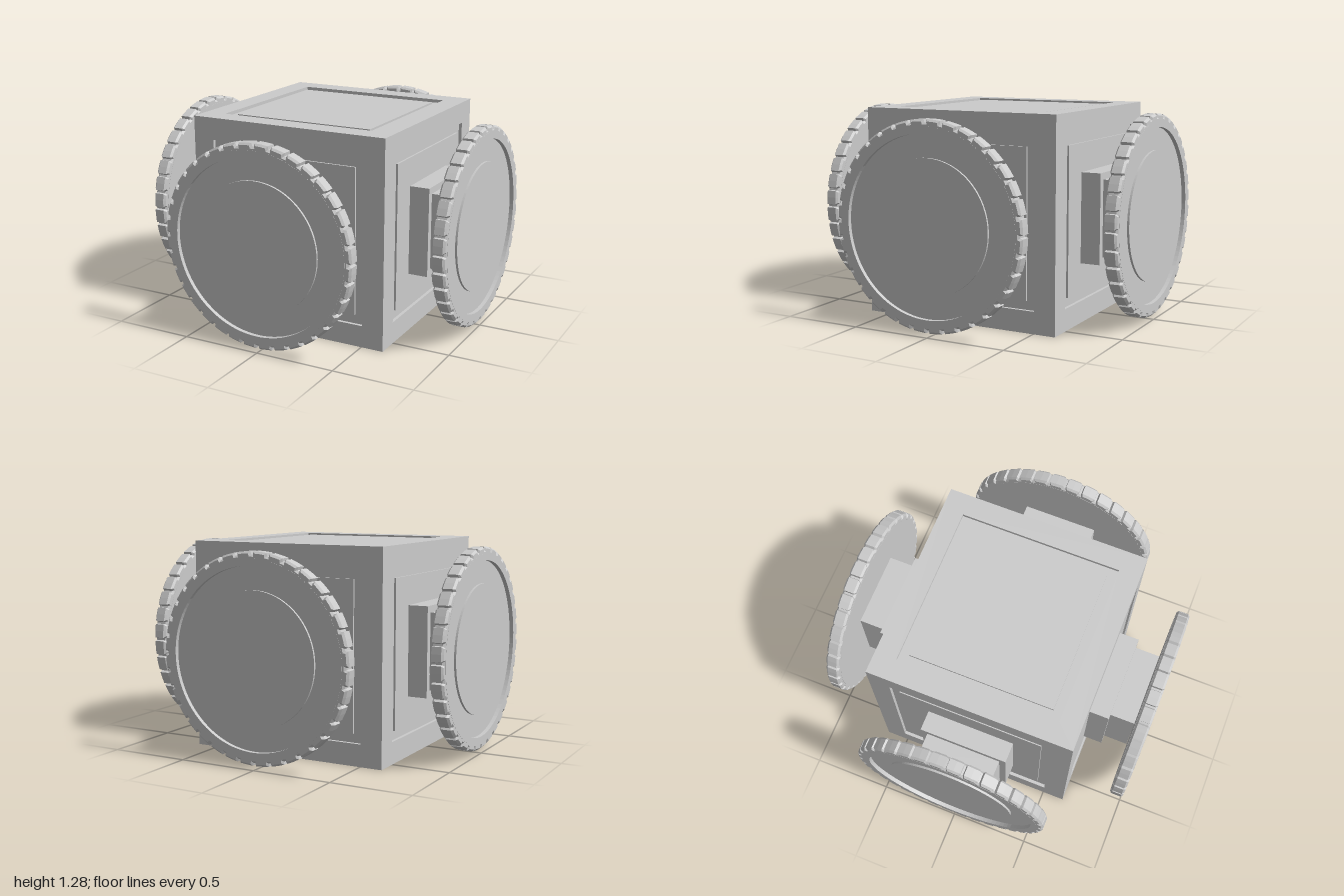
import * as THREE from 'three';

const HALF = 0.64;       // half the cube's edge
const CENTRE_Y = 0.643;
const mat = new THREE.MeshStandardMaterial({ color: 0xcccccc, flatShading: true });
const openMat = new THREE.MeshStandardMaterial({ color: 0xcccccc, flatShading: true, side: THREE.DoubleSide });

function add(parent, name, geometry, z = 0, material = mat) {
  const mesh = new THREE.Mesh(geometry, material);
  mesh.name = name;
  mesh.position.z = z;
  parent.add(mesh);
  return mesh;
}

// Square outline of half-width h
function square(path, h) {
  path.moveTo(-h, -h);
  path.lineTo(h, -h);
  path.lineTo(h, h);
  path.lineTo(-h, h);
  path.closePath();
  return path;
}

// One cube face: border, recessed groove and slightly sunken panel, facing +z
function createFace() {
  const face = new THREE.Group();
  face.name = 'cubeFace';
  const outer = 0.505, inner = 0.45, depth = 0.02;
  const border = square(new THREE.Shape(), HALF);
  border.holes.push(square(new THREE.Path(), outer));
  add(face, 'faceBorder', new THREE.ShapeGeometry(border), HALF);
  const wall = new THREE.CylinderGeometry(outer * Math.SQRT2, outer * Math.SQRT2, depth, 4, 1, true);
  wall.rotateY(Math.PI / 4).rotateX(Math.PI / 2);
  add(face, 'grooveWall', wall, HALF - depth / 2, openMat);
  add(face, 'grooveFloor', new THREE.PlaneGeometry(outer * 2, outer * 2), HALF - depth);
  add(face, 'facePanel', new THREE.BoxGeometry(inner * 2, inner * 2, 0.03), HALF - 0.023);
  return face;
}

// Toothed rim with bevelled edges
function createRimGeometry(zBack, zFront) {
  const teeth = 36, bevel = 0.012, tip = 0.615 - bevel, root = 0.597 - bevel;
  const step = (Math.PI * 2) / teeth;
  const shape = new THREE.Shape();
  for (let i = 0; i < teeth; i++) {
    [[0.15, root], [0.19, tip], [0.5, tip], [0.81, tip], [0.85, root]].forEach(([f, r], k) => {
      const a = (i + f) * step;
      const x = r * Math.cos(a), y = r * Math.sin(a);
      if (i === 0 && k === 0) shape.moveTo(x, y);
      else shape.lineTo(x, y);
    });
  }
  shape.closePath();
  shape.holes.push(new THREE.Path().absarc(0, 0, 0.55, 0, Math.PI * 2, true));
  const geometry = new THREE.ExtrudeGeometry(shape, {
    depth: zFront - zBack - 2 * bevel, bevelEnabled: true, bevelThickness: bevel,
    bevelSize: bevel, bevelSegments: 1, curveSegments: 24,
  });
  return geometry.translate(0, 0, zBack + bevel);
}

// Wheel disc with a ring groove and a raised centre
function createWheel() {
  const wheel = new THREE.Group();
  wheel.name = 'wheel';
  const back = 0.914, front = 1.0;
  const profile = [
    [0, back], [0.575, back], [0.575, front], [0.535, front],
    [0.535, front - 0.025], [0.397, front - 0.025], [0.397, front - 0.012], [0, front - 0.012],
  ].map(([r, z]) => new THREE.Vector2(r, z));
  add(wheel, 'wheelDisc', new THREE.LatheGeometry(profile, 96).rotateX(Math.PI / 2));
  add(wheel, 'toothedRim', createRimGeometry(back + 0.001, front - 0.001));
  return wheel;
}

// Square block from z0 to z1
function block(parent, name, half, z0, z1) {
  add(parent, name, new THREE.BoxGeometry(half * 2, half * 2, z1 - z0), (z0 + z1) / 2);
}

export function createModel() {
  const model = new THREE.Group();
  model.name = 'wheeledCube';
  const body = new THREE.Group();
  body.name = 'body';
  body.position.y = CENTRE_Y;
  model.add(body);

  // Four sides, each with a face, stepped axle and wheel
  const sides = [['front', 0, 0.909], ['left', 1, 0.903], ['back', 2, 0.915], ['right', 3, 0.894]];
  for (const [name, turn, axleEnd] of sides) {
    const side = new THREE.Group();
    side.name = name + 'Side';
    side.rotation.y = (turn * Math.PI) / 2;
    side.add(createFace(), createWheel());
    block(side, 'axleBase', 0.275, HALF - 0.04, 0.755);
    block(side, 'axle', 0.234, 0.74, axleEnd);
    body.add(side);
  }

  // Panelled top and plain underside
  const top = createFace();
  top.name = 'topFace';
  top.rotation.x = -Math.PI / 2;
  body.add(top);
  const bottom = new THREE.PlaneGeometry(HALF * 2, HALF * 2).rotateX(Math.PI / 2);
  add(body, 'underside', bottom).position.y = -HALF;

  // Stand exactly on the ground
  body.position.y = HALF;
  return model;
}
